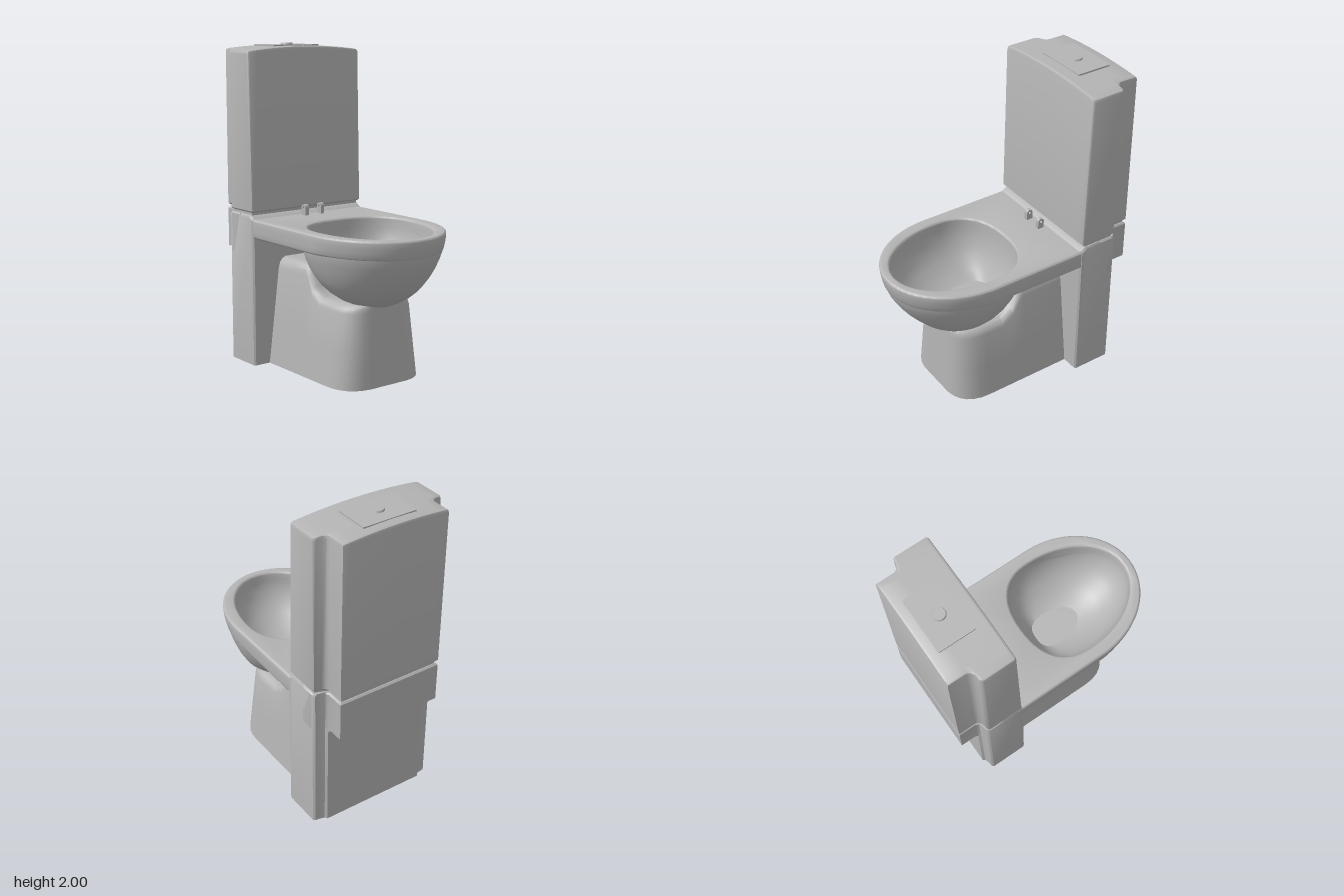
import * as THREE from 'three';
import { toCreasedNormals } from 'three/addons/utils/BufferGeometryUtils.js';

const ceramic = new THREE.MeshStandardMaterial({ color: 0xb4b4b4 });
ceramic.name = 'grey ceramic';

function build(points, index, crease = 0.6) {
  const g = new THREE.BufferGeometry();
  g.setAttribute('position', new THREE.Float32BufferAttribute(points, 3));
  g.setIndex(index);
  return toCreasedNormals(g, crease);
}

// Solid symmetric in z: plan rows [x, halfWidth], stacked levels, gridded caps.
// place(x, z, level) gives the final [x, y, z].
function slab(rows, levels, place, M = 16) {
  const pts = [], idx = [], n = rows.length, edge = [];
  for (let i = 0; i < n; i++) edge.push([i, M]);
  for (let j = M - 1; j >= 0; j--) edge.push([n - 1, j]);
  for (let i = n - 2; i >= 0; i--) edge.push([i, 0]);
  for (let j = 1; j < M; j++) edge.push([0, j]);
  const put = (i, j, level) => pts.push(...place(rows[i][0], rows[i][1] * (2 * j / M - 1), level));
  const E = edge.length;
  levels.forEach((level, k) => {
    edge.forEach(([i, j]) => put(i, j, level));
    if (k === 0) return;
    for (let e = 0; e < E; e++) {
      const a = (k - 1) * E + e, b = (k - 1) * E + (e + 1) % E;
      idx.push(a, b, b + E, a, b + E, a + E);
    }
  });
  for (const top of [false, true]) {
    const base = pts.length / 3;
    for (let i = 0; i < n; i++) for (let j = 0; j <= M; j++) put(i, j, levels[top ? levels.length - 1 : 0]);
    for (let i = 0; i < n - 1; i++) for (let j = 0; j < M; j++) {
      const a = base + i * (M + 1) + j, b = a + M + 1;
      if (top) idx.push(a, a + 1, b + 1, a, b + 1, b);
      else idx.push(a, b + 1, a + 1, a, b, b + 1);
    }
  }
  return build(pts, idx);
}

// Egg-shaped outline: back x, front x, half width, centre x, squareness of the back
function egg({ back, front, w, cx, p = 2 }, N = 64) {
  return Array.from({ length: N }, (_, i) => {
    const a = i / N * Math.PI * 2, c = Math.cos(a), s = Math.sin(a), q = c < 0 ? 2 / p : 1;
    return [cx + (c > 0 ? front - cx : cx - back) * Math.sign(c) * Math.abs(c) ** q, w * Math.sign(s) * Math.abs(s) ** q];
  });
}

// Stack of egg outlines from top to bottom, closed at the bottom
function bowlSkin(levels, inside) {
  const N = 64, pts = [], idx = [];
  const tri = (a, b, c) => inside ? idx.push(a, c, b) : idx.push(a, b, c);
  levels.forEach((l, k) => {
    egg(l, N).forEach(([x, z]) => pts.push(x, l.y, z));
    if (k) for (let i = 0; i < N; i++) {
      const a = (k - 1) * N + i, b = (k - 1) * N + (i + 1) % N;
      tri(a, b, b + N); tri(a, b + N, a + N);
    }
  });
  const last = levels[levels.length - 1], base = (levels.length - 1) * N;
  pts.push(last.cx, last.y - (inside ? 0 : 0.008), 0);
  for (let i = 0; i < N; i++) tri(base + i, base + (i + 1) % N, base + N);
  return build(pts, idx);
}

// Linear interpolation through [x, y] points
function curveAt(points, x) {
  for (let i = 1; i < points.length; i++) if (x <= points[i][0]) {
    const [a, b] = [points[i - 1], points[i]];
    return THREE.MathUtils.lerp(a[1], b[1], Math.max(0, (x - a[0]) / (b[0] - a[0])));
  }
  return points[points.length - 1][1];
}

export function createModel() {
  const group = new THREE.Group();
  const add = (name, geometry) => {
    const m = new THREE.Mesh(geometry, ceramic);
    m.name = name;
    group.add(m);
    return m;
  };
  const shrink = (v, c, half, r) => c + (v - c) * (1 - r / half);

  // Cistern with stepped back, tapered front and arched lid
  const step = [[-0.76, 0.345], [-0.645, 0.345], [-0.625, 0.355], [-0.612, 0.375], [-0.608, 0.405], [-0.602, 0.418], [-0.59, 0.425]];
  const arch = z => 1.96 + 0.025 * (1 - (z / 0.425) ** 2);
  add('cistern', slab([...step, [-0.375, 0.425], [-0.364, 0.42], [-0.36, 0.41]],
    [{ y: 0.97, r: 0.01 }, { y: 0.98, r: 0 }, { d: 0.018, r: 0 }, { d: 0.005, r: 0.005 }, { d: 0, r: 0.016 }],
    (x, z, l) => {
      const y = l.y ?? arch(z) - l.d;
      const px = x - Math.max(0, (x + 0.6) / 0.24) * 0.024 * (y - 0.97);
      return [shrink(px, -0.56, 0.2, l.r), y, shrink(z, 0, 0.425, l.r)];
    }));
  add('cisternGasket', slab([[-0.745, 0.33], [-0.62, 0.33], [-0.59, 0.41], [-0.385, 0.41]], [0.94, 0.98], (x, z, y) => [x, y, z]));

  // Flush plate and button
  const plateShape = new THREE.Shape();
  plateShape.moveTo(-0.69, -0.175).lineTo(-0.48, -0.175).quadraticCurveTo(-0.47, -0.175, -0.47, -0.165)
    .lineTo(-0.47, 0.165).quadraticCurveTo(-0.47, 0.175, -0.48, 0.175)
    .lineTo(-0.69, 0.175).quadraticCurveTo(-0.7, 0.175, -0.7, 0.165)
    .lineTo(-0.7, -0.165).quadraticCurveTo(-0.7, -0.175, -0.69, -0.175);
  add('flushPlate', new THREE.ExtrudeGeometry(plateShape, { depth: 0.02, bevelEnabled: false }).rotateX(-Math.PI / 2).translate(0, 1.97, 0));
  add('flushButton', new THREE.CylinderGeometry(0.036, 0.042, 0.015, 32).translate(-0.583, 1.9925, 0));

  // Rear support block, overhanging shelf and the fillet below it
  add('rearBlock', slab(
    [[-0.64, 0.345], [-0.625, 0.355], [-0.617, 0.38], [-0.612, 0.415], [-0.6, 0.425], [-0.39, 0.425], [-0.36, 0.425], [-0.35, 0.415]],
    [{ y: 0, r: 0 }, { y: 0.94, r: 0 }, { y: 0.955, r: 0.01 }],
    (x, z, l) => [x, l.y - (l.y > 0.5 ? Math.max(0, (x + 0.39) / 0.04) * 0.025 : 0), shrink(z, 0, 0.425, l.r)]));
  add('rearShelf', slab([...step, [-0.5, 0.425]], [{ y: 0.7, r: 0 }, { y: 0.945, r: 0 }, { y: 0.955, r: 0.01 }],
    (x, z, l) => [shrink(x, -0.5, 0.26, l.r), l.y, shrink(z, 0, 0.425, l.r)]));
  const fillet = new THREE.Shape();
  fillet.moveTo(-0.62, 0.705).lineTo(-0.685, 0.705).lineTo(-0.685, 0.7).quadraticCurveTo(-0.64, 0.7, -0.64, 0.655).lineTo(-0.62, 0.655);
  add('shelfFillet', toCreasedNormals(new THREE.ExtrudeGeometry(fillet, { depth: 0.69, bevelEnabled: false }).translate(0, 0, -0.345), 0.6));

  // Flat deck with the bowl opening, drawn in under the front to meet the bowl
  const opening = { y: 0.915, back: -0.072, front: 0.7, w: 0.34, cx: 0.22, p: 2.4 };
  const deckShape = new THREE.Shape();
  deckShape.moveTo(-0.4, -0.422).lineTo(0.25, -0.422)
    .absellipse(0.25, 0, 0.505, 0.422, -Math.PI / 2, Math.PI / 2, false)
    .lineTo(-0.4, 0.422).lineTo(-0.4, -0.422);
  deckShape.holes.push(new THREE.Path(egg(opening).map(p => new THREE.Vector2(...p))));
  const deck = new THREE.ExtrudeGeometry(deckShape, {
    depth: 0.09, steps: 3, curveSegments: 40, bevelSize: 0.015, bevelThickness: 0.015, bevelOffset: -0.015, bevelSegments: 3,
  }).rotateX(-Math.PI / 2).translate(0, 0.825, 0);
  const pos = deck.attributes.position;
  for (let i = 0; i < pos.count; i++) {
    const x = pos.getX(i), k = 0.04 * ((0.93 - pos.getY(i)) / 0.12) ** 2;
    if (x > 0.25) pos.setX(i, 0.25 + (x - 0.25) * (1 - k));
    pos.setZ(i, pos.getZ(i) * (1 - k * THREE.MathUtils.smoothstep(x, 0.1, 0.45)));
  }
  add('deck', toCreasedNormals(deck, 0.6));

  // Bowl, outside and inside
  add('bowlOutside', bowlSkin([
    { y: 0.87, back: -0.125, front: 0.74, w: 0.405, cx: 0.25 },
    { y: 0.81, back: -0.12, front: 0.733, w: 0.403, cx: 0.25 },
    { y: 0.76, back: -0.108, front: 0.714, w: 0.39, cx: 0.25 },
    { y: 0.7, back: -0.085, front: 0.68, w: 0.368, cx: 0.26 },
    { y: 0.65, back: -0.05, front: 0.645, w: 0.345, cx: 0.27 },
    { y: 0.6, back: 0, front: 0.603, w: 0.313, cx: 0.28 },
    { y: 0.56, back: 0.055, front: 0.565, w: 0.277, cx: 0.3 },
    { y: 0.52, back: 0.13, front: 0.515, w: 0.225, cx: 0.32 },
    { y: 0.49, back: 0.19, front: 0.465, w: 0.16, cx: 0.33 },
    { y: 0.47, back: 0.25, front: 0.42, w: 0.09, cx: 0.34 },
  ], false));
  add('bowlInside', bowlSkin([
    opening,
    { y: 0.86, back: -0.068, front: 0.695, w: 0.338, cx: 0.22, p: 2.4 },
    { y: 0.8, back: -0.058, front: 0.675, w: 0.325, cx: 0.22, p: 2.4 },
    { y: 0.74, back: -0.042, front: 0.64, w: 0.3, cx: 0.22, p: 2.4 },
    { y: 0.68, back: -0.018, front: 0.585, w: 0.26, cx: 0.21, p: 2.4 },
    { y: 0.62, back: 0.014, front: 0.49, w: 0.19, cx: 0.19, p: 2.5 },
    { y: 0.575, back: 0.04, front: 0.355, w: 0.11, cx: 0.18, p: 2.8 },
  ], true));
  // Flat floor of the bowl
  const floor = new THREE.Shape(egg({ back: 0.04, front: 0.355, w: 0.11, cx: 0.18, p: 2.8 }).map(p => new THREE.Vector2(...p)));
  add('bowlFloor', new THREE.ShapeGeometry(floor).rotateX(-Math.PI / 2).translate(0, 0.577, 0));

  // Tapered pedestal, its top dropping away under the bowl
  const topLine = [[-0.4, 0.675], [-0.06, 0.675], [-0.03, 0.64], [0.02, 0.55], [0.1, 0.5]];
  const pedestalRows = [...[-0.4, -0.2, -0.06, -0.03, 0.02, 0.1, 0.24].map(x => [x, 0.312]),
    [0.3, 0.307], [0.35, 0.292], [0.39, 0.268], [0.42, 0.235], [0.44, 0.192], [0.45, 0.14]];
  add('pedestal', slab(pedestalRows,
    [{ t: 0, r: 0 }, { t: 0.45, r: 0 }, { t: 0.9, r: 0 }, { t: 0.95, r: 0.008 }, { t: 0.985, r: 0.03 }, { t: 1, r: 0.06 }],
    (x, z, l) => {
      const y = l.t * curveAt(topLine, x);
      const px = x > 0.1 ? x - 0.05 * y * (x - 0.1) / 0.35 : x;
      return [px, y, shrink(z, 0, 0.312, l.r) * (1 - 0.4 * y)];
    }));

  // Seat hinge lugs
  const lug = new THREE.Shape();
  lug.moveTo(-0.328, 0.92).lineTo(-0.286, 0.92).lineTo(-0.286, 0.977).absarc(-0.307, 0.977, 0.021, 0, Math.PI, false).lineTo(-0.328, 0.92);
  lug.holes.push(new THREE.Path().absarc(-0.307, 0.977, 0.008, 0, Math.PI * 2, true));
  for (const [side, z] of [['left', -0.073], ['right', 0.047]])
    add(side + 'HingeLug', new THREE.ExtrudeGeometry(lug, { depth: 0.026, bevelEnabled: false }).translate(0, 0, z));

  return group;
}
